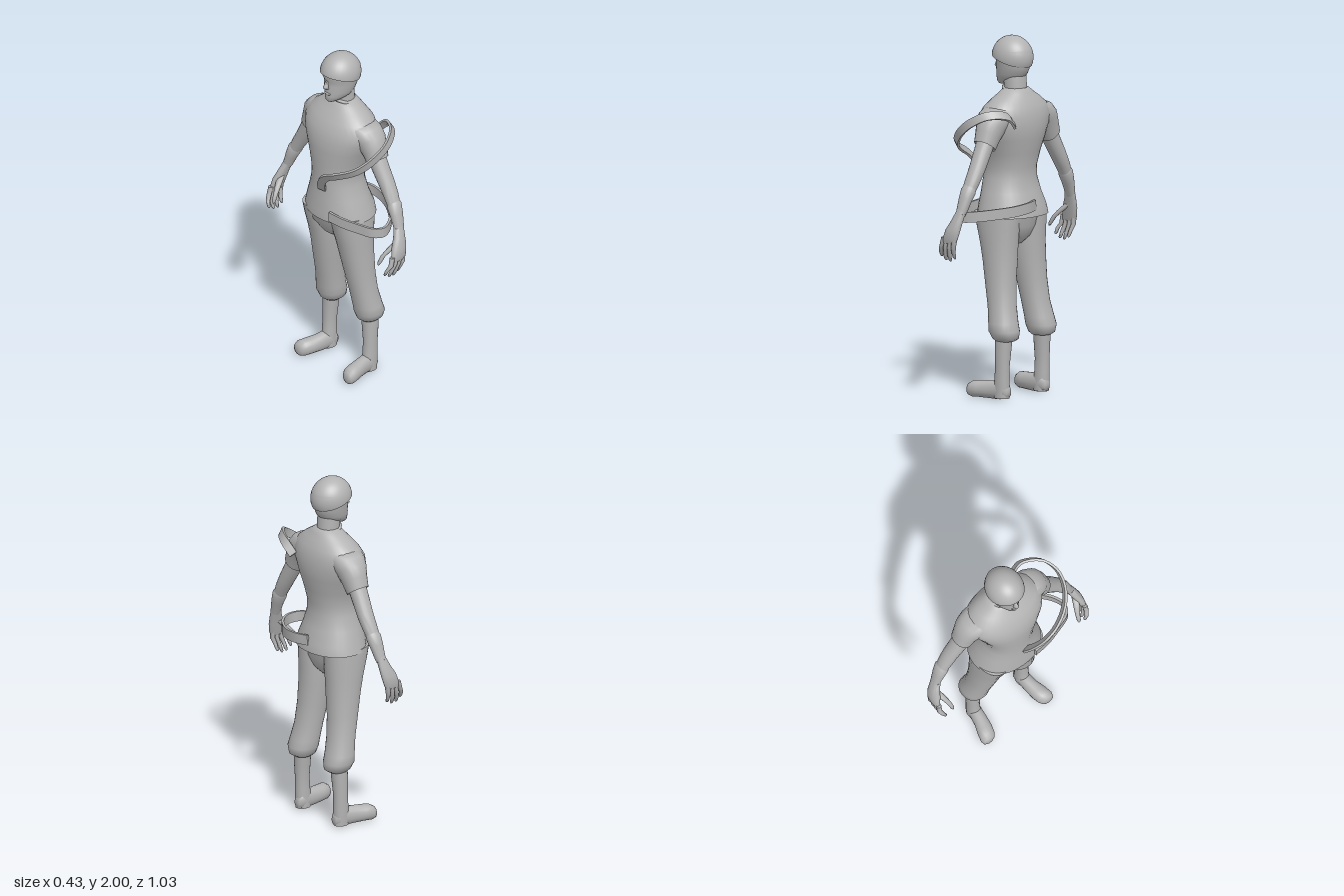
import * as THREE from 'three';
import { toCreasedNormals } from 'three/addons/utils/BufferGeometryUtils.js';

const V = (x, y, z) => new THREE.Vector3(x, y, z);
const X = V(1, 0, 0), Y = V(0, 1, 0), Z = V(0, 0, 1);

// Skin over elliptical rings: rows of [x, y, z, radius along u, radius along v]
function loft(rows, u = X, v = Z, n = 20, square = 0.92) {
  const pos = [], idx = [];
  const soft = t => Math.sign(t) * Math.abs(t) ** square;
  for (const [x, y, z, a, b] of rows)
    for (let i = 0; i < n; i++) {
      const t = i / n * Math.PI * 2;
      const p = V(x, y, z).addScaledVector(u, a * soft(Math.cos(t))).addScaledVector(v, b * soft(Math.sin(t)));
      pos.push(p.x, p.y, p.z);
    }
  const m = rows.length, first = rows[0], last = rows[m - 1];
  pos.push(...first.slice(0, 3), ...last.slice(0, 3));
  const axis = V(last[0] - first[0], last[1] - first[1], last[2] - first[2]);
  const forward = V(0, 0, 0).crossVectors(u, v).dot(axis) > 0;
  const tri = (a, b, c) => forward ? idx.push(a, b, c) : idx.push(a, c, b);
  for (let i = 0; i < n; i++) {
    const j = (i + 1) % n;
    for (let r = 0; r < m - 1; r++) {
      tri(r * n + i, r * n + j, r * n + n + j);
      tri(r * n + i, r * n + n + j, r * n + n + i);
    }
    tri(m * n, j, i);
    tri(m * n + 1, (m - 1) * n + i, (m - 1) * n + j);
  }
  const g = new THREE.BufferGeometry();
  g.setAttribute('position', new THREE.Float32BufferAttribute(pos, 3));
  g.setIndex(idx);
  return toCreasedNormals(g, 1.1);
}

// Flat band with a rectangular section, swept along a smooth path
function band(points, across, width, thick) {
  const curve = new THREE.CatmullRomCurve3(points.map(p => V(...p)));
  const pos = [], idx = [], n = 36;
  for (let i = 0; i <= n; i++) {
    const c = curve.getPoint(i / n), t = curve.getTangent(i / n);
    const out = V(0, 0, 0).crossVectors(t, across).normalize();
    const w = V(0, 0, 0).crossVectors(out, t).normalize();
    for (const [a, b] of [[1, 1], [-1, 1], [-1, -1], [1, -1]]) {
      const p = c.clone().addScaledVector(w, a * width / 2).addScaledVector(out, b * thick / 2);
      pos.push(p.x, p.y, p.z);
    }
    if (i < n) for (let k = 0; k < 4; k++) {
      const a = i * 4 + k, b = i * 4 + (k + 1) % 4;
      idx.push(a, b, b + 4, a, b + 4, a + 4);
    }
  }
  const e = n * 4;
  idx.push(0, 2, 1, 0, 3, 2, e, e + 1, e + 2, e, e + 2, e + 3);
  const g = new THREE.BufferGeometry();
  g.setAttribute('position', new THREE.Float32BufferAttribute(pos, 3));
  g.setIndex(idx);
  return toCreasedNormals(g, 0.7);
}

export function createModel() {
  const model = new THREE.Group();
  const grey = new THREE.MeshStandardMaterial({ color: 0xb3b3b3, side: THREE.DoubleSide });
  grey.name = 'plain grey';
  const add = (name, geometry) => {
    const mesh = new THREE.Mesh(geometry, grey);
    mesh.name = name;
    model.add(mesh);
    return mesh;
  };

  // Shirt body, the figure looking towards -x
  add('shirt', loft([
    [0.02, 1.01, 0, 0.172, 0.212], [0.018, 1.06, 0, 0.168, 0.2], [0.008, 1.14, 0, 0.148, 0.174],
    [0.002, 1.22, 0, 0.138, 0.15], [0.003, 1.28, 0, 0.139, 0.145], [0.01, 1.36, 0, 0.148, 0.165],
    [0.018, 1.44, 0, 0.158, 0.196], [0.024, 1.51, 0, 0.16, 0.225], [0.03, 1.57, 0, 0.148, 0.237],
    [0.038, 1.62, 0, 0.128, 0.208], [0.042, 1.66, 0, 0.1, 0.155], [0.045, 1.69, 0, 0.08, 0.105],
    [0.046, 1.715, 0, 0.062, 0.07],
  ], X, Z, 32));
  const collar = add('collar', new THREE.TorusGeometry(0.066, 0.009, 8, 28));
  collar.rotation.set(Math.PI / 2, -0.35, 0);
  collar.position.set(0.038, 1.7, 0);

  // Neck and head
  add('neck', loft([
    [0.045, 1.64, 0, 0.062, 0.065], [0.042, 1.71, 0, 0.06, 0.062],
    [0.035, 1.78, 0, 0.062, 0.064], [0.03, 1.84, 0, 0.06, 0.06],
  ]));
  const head = loft([
    [-0.045, 1.728, 0, 0.028, 0.028], [-0.03, 1.74, 0, 0.053, 0.046], [0.0, 1.765, 0, 0.083, 0.07],
    [0.012, 1.79, 0, 0.094, 0.08], [0.02, 1.83, 0, 0.103, 0.089], [0.023, 1.86, 0, 0.104, 0.095],
    [0.021, 1.885, 0, 0.115, 0.1], [0.021, 1.92, 0, 0.115, 0.1], [0.023, 1.955, 0, 0.09, 0.08],
    [0.023, 1.98, 0, 0.055, 0.05],
  ], X, Z, 28, 1);
  const hp = head.attributes.position;
  for (let i = 0; i < hp.count; i++) // taper towards the face
    hp.setZ(i, hp.getZ(i) * (1 - 0.25 * THREE.MathUtils.clamp(-hp.getX(i) / 0.09, 0, 1)));
  add('head', head);
  add('nose', loft([
    [-0.075, 1.868, 0, 0.008, 0.007], [-0.084, 1.84, 0, 0.016, 0.011],
    [-0.086, 1.822, 0, 0.02, 0.016], [-0.076, 1.812, 0, 0.014, 0.012],
  ], X, Z, 12));
  add('lips', new THREE.SphereGeometry(1, 14, 8).scale(0.012, 0.009, 0.024).translate(-0.075, 1.781, 0));

  // Hair cap, lower at the nape
  const hair = new THREE.SphereGeometry(1, 32, 18, 0, Math.PI * 2, 0, 1.72);
  hair.scale(0.121, 0.117, 0.106).rotateZ(-0.3).translate(0.02, 1.883, 0);
  add('hair', hair);

  // Seat of the trousers
  add('trouserSeat', loft([
    [0.02, 0.85, 0, 0.055, 0.035], [0.015, 0.89, 0, 0.1, 0.09],
    [0.006, 0.95, 0, 0.13, 0.165], [0.004, 1.03, 0, 0.145, 0.2],
  ], X, Z, 28));

  for (const s of [1, -1]) {
    const side = s > 0 ? 'left' : 'right';
    const part = (name, rows, u, v, n) =>
      add(side + name, loft(rows.map(([x, y, z, a, b]) => [x, y, z * s, a, b]), u, v, n));

    // Leg, boot and foot
    part('TrouserLeg', [
      [0.005, 1.03, 0.11, 0.14, 0.095], [0.012, 0.95, 0.111, 0.127, 0.096], [0.022, 0.86, 0.113, 0.11, 0.093],
      [0.032, 0.77, 0.117, 0.098, 0.089], [0.046, 0.64, 0.128, 0.085, 0.081], [0.065, 0.52, 0.138, 0.078, 0.077],
      [0.083, 0.43, 0.149, 0.08, 0.081], [0.093, 0.385, 0.153, 0.084, 0.083], [0.1, 0.345, 0.15, 0.076, 0.066],
      [0.098, 0.33, 0.15, 0.055, 0.05],
    ], X, Z, 24);
    part('Boot', [
      [0.095, 0.37, 0.155, 0.048, 0.046], [0.092, 0.27, 0.162, 0.045, 0.042], [0.09, 0.19, 0.165, 0.041, 0.036],
      [0.088, 0.12, 0.165, 0.043, 0.037], [0.084, 0.06, 0.164, 0.047, 0.038], [0.084, 0.012, 0.164, 0.045, 0.036],
    ]);
    part('Foot', [
      [0.132, 0.045, 0.16, 0.025, 0.02], [0.115, 0.055, 0.161, 0.046, 0.034], [0.07, 0.058, 0.164, 0.055, 0.038],
      [0.01, 0.054, 0.171, 0.05, 0.04], [-0.05, 0.052, 0.184, 0.046, 0.047], [-0.09, 0.05, 0.194, 0.045, 0.046],
      [-0.112, 0.047, 0.199, 0.035, 0.035], [-0.12, 0.045, 0.2, 0.018, 0.018],
    ], Y, Z);

    // Sleeve and arm, rings square to the sloping limb
    const slope = V(0, Math.sin(0.6), s * Math.cos(0.6));
    part('Sleeve', [
      [0.038, 1.59, 0.13, 0.1, 0.07], [0.045, 1.56, 0.175, 0.096, 0.085], [0.05, 1.525, 0.215, 0.084, 0.08],
      [0.052, 1.475, 0.243, 0.07, 0.07], [0.052, 1.42, 0.268, 0.062, 0.06], [0.052, 1.425, 0.265, 0.05, 0.047],
    ], X, slope);
    part('Arm', [
      [0.05, 1.48, 0.238, 0.052, 0.05], [0.052, 1.38, 0.292, 0.048, 0.046], [0.056, 1.3, 0.338, 0.045, 0.042],
      [0.055, 1.24, 0.374, 0.042, 0.038], [0.05, 1.16, 0.418, 0.034, 0.03], [0.04, 1.06, 0.458, 0.029, 0.024],
    ], X, slope);
    part('Cuff', [
      [0.053, 1.205, 0.394, 0.037, 0.033], [0.052, 1.19, 0.403, 0.043, 0.038],
      [0.048, 1.14, 0.427, 0.038, 0.032], [0.042, 1.07, 0.453, 0.03, 0.025],
    ], X, slope);

    // Hand with curled fingers
    part('Palm', [
      [0.04, 1.08, 0.451, 0.029, 0.024], [0.028, 1.03, 0.469, 0.037, 0.024], [0.012, 0.98, 0.485, 0.048, 0.025],
      [0.0, 0.93, 0.495, 0.05, 0.021], [-0.006, 0.905, 0.496, 0.045, 0.014],
    ], X, Z);
    for (let f = 0; f < 4; f++) {
      const x = 0.032 - f * 0.026, tip = 0.016 - f * 0.031, low = [0.815, 0.8, 0.803, 0.822][f];
      part('Finger' + (f + 1), [
        [x, 0.935, 0.495, 0.014, 0.015], [x * 0.6 + tip * 0.4, 0.885, 0.498, 0.013, 0.014],
        [tip, low + 0.035, 0.486, 0.011, 0.011], [tip - 0.003, low + 0.008, 0.474, 0.009, 0.009],
        [tip - 0.003, low, 0.471, 0.004, 0.004],
      ], X, Z, 10);
    }
    part('Thumb', [
      [0.012, 1.0, 0.473, 0.022, 0.02], [-0.03, 0.96, 0.452, 0.019, 0.016], [-0.062, 0.925, 0.437, 0.014, 0.013],
      [-0.083, 0.888, 0.43, 0.011, 0.011], [-0.088, 0.875, 0.428, 0.005, 0.005],
    ], X, Z, 10);
  }

  // Loose shoulder strap looping out over the left arm
  add('shoulderStrap', band([
    [0.165, 1.53, 0.15], [0.17, 1.59, 0.22], [0.115, 1.6, 0.315], [0.035, 1.56, 0.36], [-0.05, 1.5, 0.352],
    [-0.13, 1.43, 0.295], [-0.185, 1.38, 0.2], [-0.198, 1.34, 0.12], [-0.175, 1.27, 0.06], [-0.14, 1.2, 0.025],
  ], V(-0.55, 0.83, 0), 0.046, 0.014));

  // Loose belt swinging out on the left hip
  add('belt', band([
    [0.184, 1.075, 0.0], [0.203, 1.07, 0.08], [0.188, 1.06, 0.18], [0.132, 1.05, 0.28], [0.06, 1.04, 0.355],
    [-0.01, 1.035, 0.385], [-0.065, 1.04, 0.36], [-0.1, 1.045, 0.28], [-0.132, 1.05, 0.18], [-0.145, 1.055, 0.09],
  ], V(0, 1, 0), 0.058, 0.014));

  return model;
}
